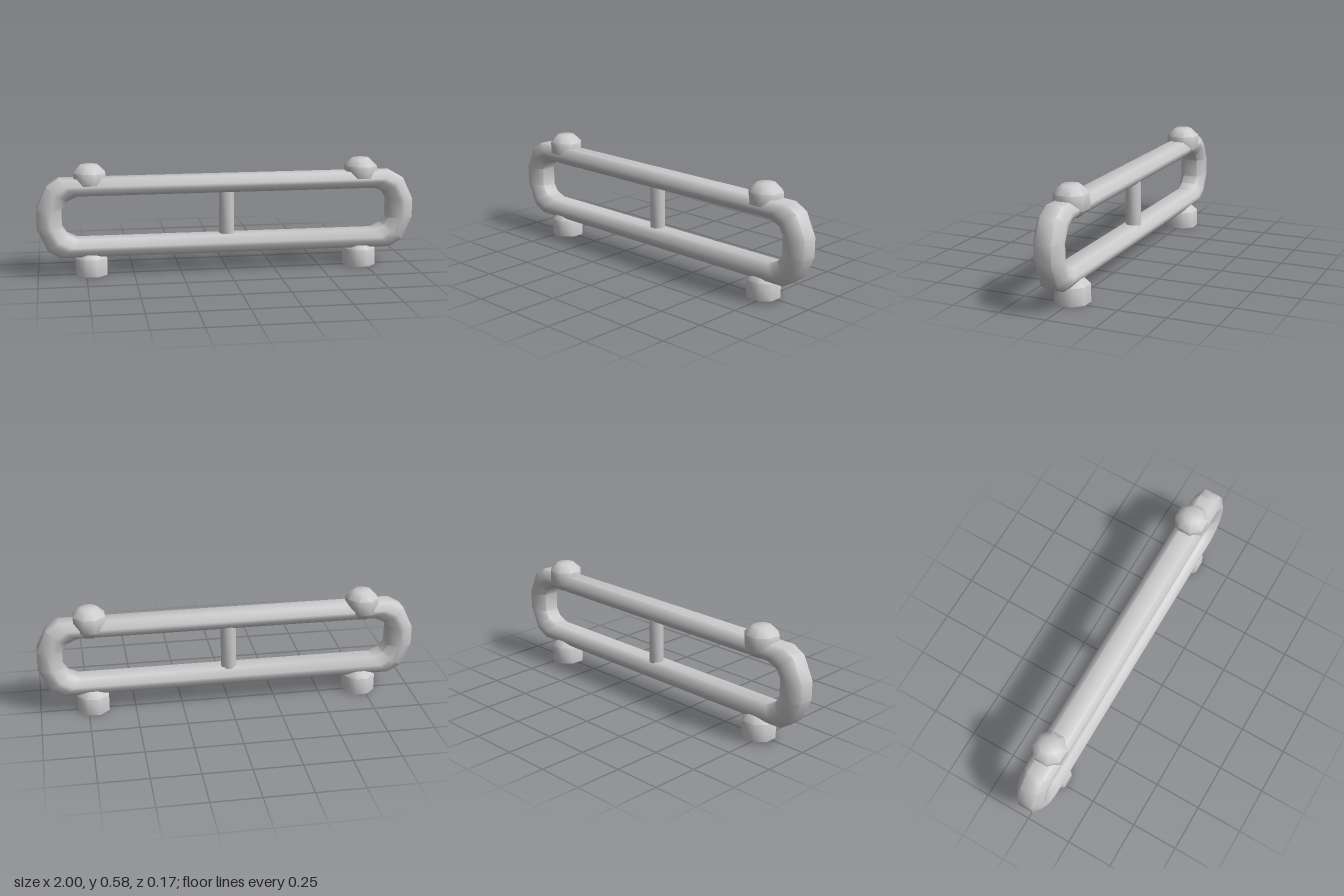
import * as THREE from 'three';
import { toCreasedNormals } from 'three/addons/utils/BufferGeometryUtils.js';

const material = new THREE.MeshStandardMaterial({ color: 0xcccccc });

function addMesh(group, name, geometry, x, y, z) {
  const mesh = new THREE.Mesh(toCreasedNormals(geometry, 1.0), material);
  mesh.name = name;
  mesh.position.set(x, y, z);
  group.add(mesh);
}

// Upright eight-sided solid with flats facing the axes; profile is [flat radius, y]
function octagonal(profile) {
  const points = profile.map(([r, y]) => new THREE.Vector2(r / Math.cos(Math.PI / 8), y));
  return new THREE.LatheGeometry(points, 8, Math.PI / 8);
}

// Closed oblong loop: each bend station has an outer and an inner point
function loopGeometry() {
  const right = [
    [0.88, 0.102, 0.79, 0.197],
    [0.945, 0.14, 0.845, 0.222],
    [1.0, 0.26, 0.87, 0.262],
    [1.0, 0.36, 0.87, 0.36],
    [0.945, 0.478, 0.845, 0.4],
    [0.88, 0.515, 0.79, 0.426],
  ];
  const left = right.map(([ox, oy, ix, iy]) => [-ox, oy, -ix, iy]).reverse();
  const stations = [...right, ...left];

  // Chamfered cross-section: [outward fraction, z]
  const section = [
    [1, 0.0415], [0.2, 0.075], [-0.2, 0.075], [-1, 0.0415],
    [-1, -0.0415], [-0.2, -0.075], [0.2, -0.075], [1, -0.0415],
  ];
  const positions = [];
  const index = [];
  const n = section.length;
  stations.forEach(([ox, oy, ix, iy], i) => {
    const next = (i + 1) % stations.length;
    section.forEach(([f, z], j) => {
      positions.push((ox + ix) / 2 + (f * (ox - ix)) / 2, (oy + iy) / 2 + (f * (oy - iy)) / 2, z);
      const k = (j + 1) % n;
      const a = i * n + j, b = next * n + j, c = next * n + k, d = i * n + k;
      index.push(a, b, c, a, c, d);
    });
  });
  const geometry = new THREE.BufferGeometry();
  geometry.setAttribute('position', new THREE.Float32BufferAttribute(positions, 3));
  geometry.setIndex(index);
  return geometry;
}

export function createModel() {
  const group = new THREE.Group();
  group.name = 'handleFrame';

  addMesh(group, 'frameLoop', loopGeometry(), 0, 0, 0.009);

  // Central post joining the two bars
  addMesh(group, 'centrePost', octagonal([[0.038, 0.17], [0.038, 0.45]]), -0.003, 0, 0);

  // Feet below and knobs above, mirrored
  for (const [side, name] of [[1, 'left'], [-1, 'right']]) {
    const foot = octagonal([[0, 0], [0.082, 0], [0.082, 0.092], [0.043, 0.132], [0, 0.132]]);
    addMesh(group, name + 'Foot', foot, side * 0.7225, 0, 0);

    const knob = octagonal([[0, 0.428], [0.043, 0.428], [0.082, 0.466], [0.082, 0.543], [0.043, 0.583], [0, 0.583]]);
    addMesh(group, name + 'Knob', knob, side * 0.7225, 0, 0);
  }
  return group;
}
